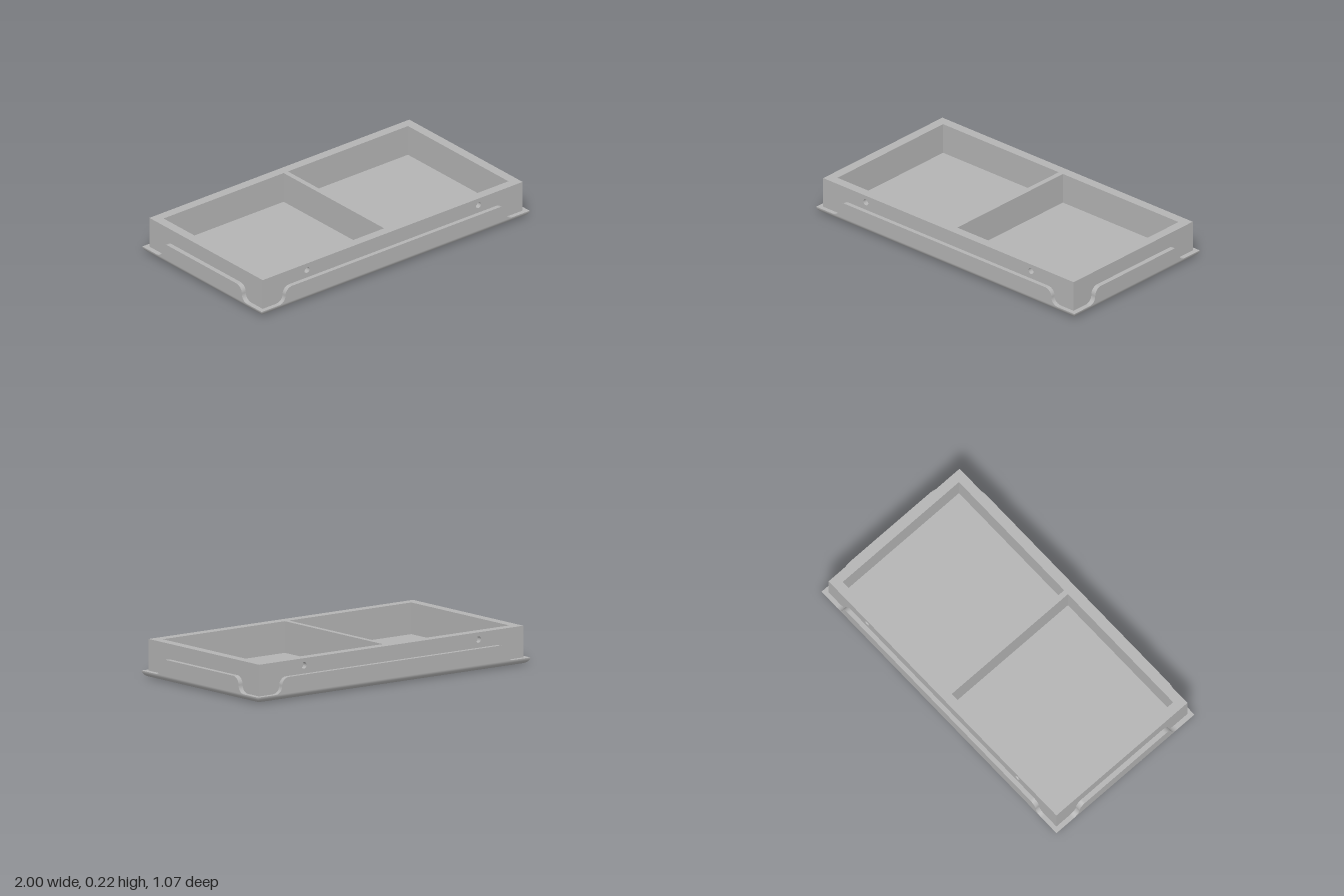
import * as THREE from 'three';

const X = 1, Z = 0.537;            // outer half size of the sheet base
const BX = 0.97, BZ = 0.51;        // half size of the box
const RIM = 0.037, TOP = 0.222, TAB = 0.132;

function rect(x0, z0, x1, z1, Type) {
  const p = new Type();
  p.moveTo(x0, z0).lineTo(x1, z0).lineTo(x1, z1).lineTo(x0, z1).closePath();
  return p;
}

const extrude = (shape, depth) =>
  new THREE.ExtrudeGeometry(shape, { depth, bevelEnabled: false, curveSegments: 16 });

// Rounded lower edge along +z, mitred at both ends; half is its half length
function edgeGeometry(half, out) {
  const pos = [], nor = [], idx = [], n = 12, r = 0.05;
  for (let i = 0; i <= n; i++) {
    const a = (i / n) * Math.PI / 2, s = Math.sin(a), c = Math.cos(a);
    const inset = r * (1 - s), y = RIM * (1 - c);
    const normal = new THREE.Vector3(0, -c / RIM, s / r).normalize();
    for (const side of [-1, 1]) {
      pos.push(side * (half - inset), y, out - inset);
      nor.push(normal.x, normal.y, normal.z);
    }
    if (i < n) {
      const k = i * 2;
      idx.push(k, k + 1, k + 3, k, k + 3, k + 2);
    }
  }
  const g = new THREE.BufferGeometry();
  g.setAttribute('position', new THREE.Float32BufferAttribute(pos, 3));
  g.setAttribute('normal', new THREE.Float32BufferAttribute(nor, 3));
  g.setIndex(idx);
  return g;
}

// Upright flange with S-curved ends
function tabGeometry(top, mid, bottom, thickness) {
  const s = new THREE.Shape(), y = 0.085;
  s.moveTo(-bottom, RIM).lineTo(bottom, RIM);
  s.bezierCurveTo(mid + 0.02, RIM, mid, RIM + 0.02, mid, y);
  s.bezierCurveTo(mid, TAB - 0.02, top + 0.022, TAB, top, TAB);
  s.lineTo(-top, TAB);
  s.bezierCurveTo(-top - 0.022, TAB, -mid, TAB - 0.02, -mid, y);
  s.bezierCurveTo(-mid, RIM + 0.02, -mid - 0.02, RIM, -bottom, RIM);
  return extrude(s, thickness);
}

export function createModel() {
  const model = new THREE.Group();
  model.name = 'dividedTray';
  const grey = new THREE.MeshStandardMaterial({ color: 0xb3b3b3 });
  grey.name = 'grey';
  const add = (name, geometry, parent = model) => {
    const m = new THREE.Mesh(geometry, grey);
    m.name = name;
    parent.add(m);
    return m;
  };

  // Base sheet: underside and upper face, which is also the pocket floor
  const under = add('underside', new THREE.PlaneGeometry(2 * X - 0.1, 2 * Z - 0.1));
  under.rotation.x = Math.PI / 2;
  const floor = add('floor', new THREE.PlaneGeometry(2 * X, 2 * Z));
  floor.rotation.x = -Math.PI / 2;
  floor.position.y = RIM;

  // Box core with two pockets
  const skin = 0.03, inner = BZ - skin;
  const plan = rect(-BX, -inner, BX, inner, THREE.Shape);
  plan.holes.push(rect(-0.912, -0.452, -0.016, 0.452, THREE.Path),
    rect(0.016, -0.452, 0.912, 0.452, THREE.Path));
  const core = add('pocketFrame', extrude(plan, TOP - RIM));
  core.rotation.x = -Math.PI / 2;
  core.position.y = RIM;

  // Long outer walls with two blind holes each
  const face = rect(-BX, RIM, BX, TOP, THREE.Shape);
  for (const x of [-0.64, 0.64]) {
    face.holes.push(new THREE.Path().absarc(x, 0.18, 0.019, 0, Math.PI * 2, true));
  }
  const wallGeometry = extrude(face, skin);
  const longTab = tabGeometry(0.775, 0.822, 0.875, Z - BZ);
  const shortTab = tabGeometry(0.312, 0.358, 0.41, X - BX);
  const longEdge = edgeGeometry(X, Z), shortEdge = edgeGeometry(Z, X);

  // Mirrored pairs of sides
  for (const [i, name] of ['front', 'left', 'back', 'right'].entries()) {
    const side = new THREE.Group();
    side.name = name + 'Side';
    side.rotation.y = i * Math.PI / 2;
    model.add(side);
    const long = i % 2 === 0;
    add(name + 'RoundedEdge', long ? longEdge : shortEdge, side);
    add(name + 'Flange', long ? longTab : shortTab, side).position.z = long ? BZ : BX;
    if (long) add(name + 'Wall', wallGeometry, side).position.z = inner;
  }
  return model;
}
